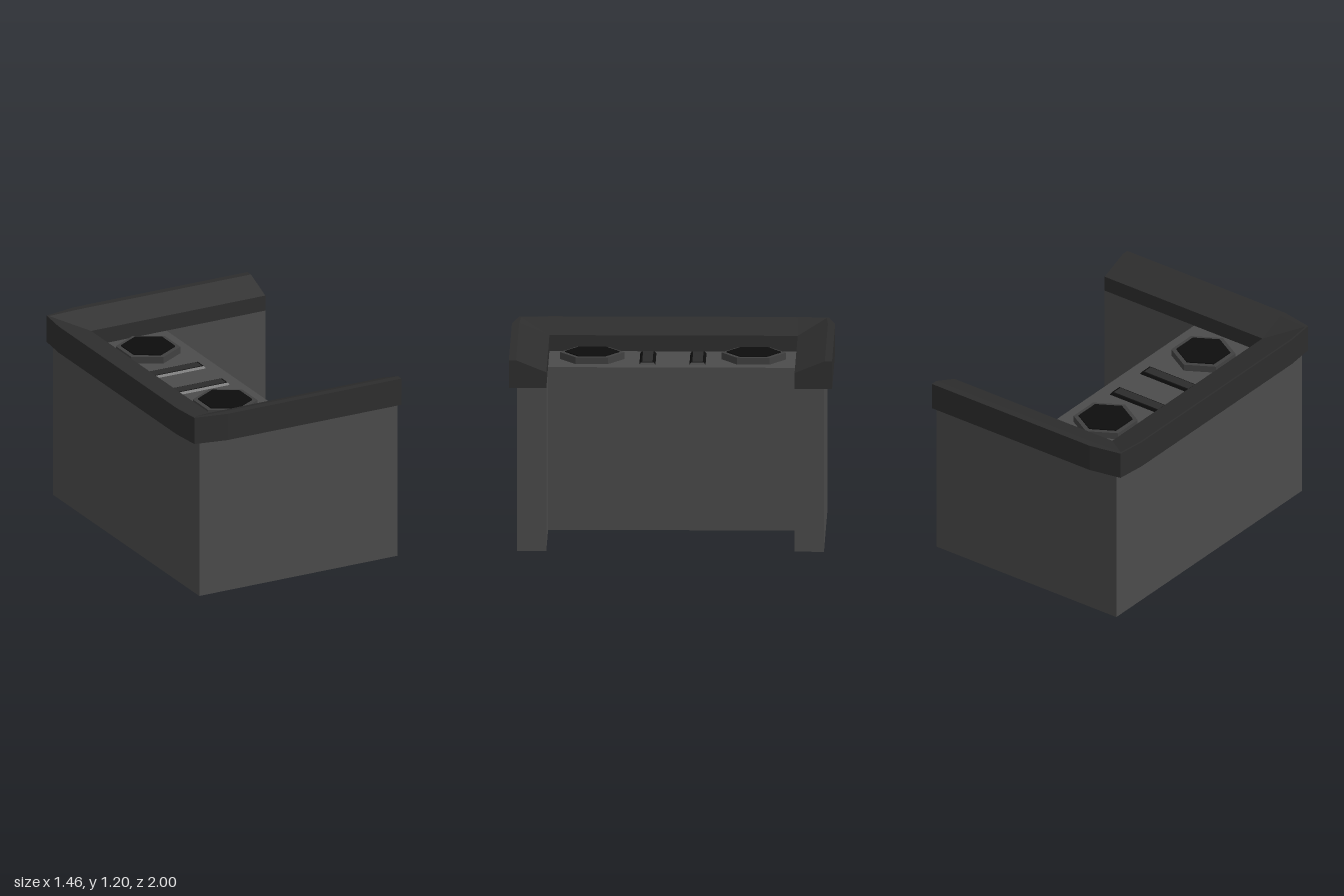
import * as THREE from 'three';

const mat = (color) => new THREE.MeshStandardMaterial({ color, flatShading: true });
const DECK = 1.025, TOP = 1.2, LIP = 1.125;

// U-shaped rim: stations give outer, ridge and inner points in plan [x, z]
function rimGeometry() {
  const half = [
    [[0.725, 1], [0.725, 0.955], [0.725, 0.768]],
    [[-0.5, 1], [-0.5, 0.955], [-0.5, 0.768]],
    [[-0.71, 0.96], [-0.7, 0.945], [-0.5, 0.768]],
    [[-0.73, 0.768], [-0.72, 0.768], [-0.5, 0.768]],
  ];
  const mirrored = half.map((s) => s.map(([x, z]) => [x, -z])).reverse();
  const rings = [...half, ...mirrored].map(([o, r, i]) => [
    [o[0], DECK, o[1]], [o[0], TOP, o[1]], [r[0], TOP, r[1]],
    [i[0], LIP, i[1]], [i[0], DECK, i[1]],
  ]);
  const pos = [];
  const tri = (a, b, c) => pos.push(...a, ...b, ...c);
  for (let s = 0; s < rings.length - 1; s++) {
    for (let j = 0; j < 5; j++) {
      const k = (j + 1) % 5;
      const a = rings[s][j], b = rings[s][k], c = rings[s + 1][j], d = rings[s + 1][k];
      tri(a, b, c);
      tri(b, d, c);
    }
  }
  // end caps
  const first = rings[0], last = rings[rings.length - 1];
  for (let j = 1; j < 4; j++) {
    tri(first[0], first[j + 1], first[j]);
    tri(last[0], last[j], last[j + 1]);
  }
  const g = new THREE.BufferGeometry();
  g.setAttribute('position', new THREE.Float32BufferAttribute(pos, 3));
  g.computeVertexNormals();
  return g;
}

export function createModel() {
  const group = new THREE.Group();
  const bodyMat = mat(0x4b4b4b), rimMat = mat(0x2d2d2d), nutMat = mat(0x404040);
  const blackMat = mat(0x0d0d0d), barMat = mat(0x2b2b2b);

  const add = (name, geometry, material, x = 0, y = 0, z = 0, parent = group) => {
    const m = new THREE.Mesh(geometry, material);
    m.name = name;
    m.position.set(x, y, z);
    parent.add(m);
    return m;
  };

  // body: C-shaped plan extruded upward
  const plan = new THREE.Shape([
    [-0.67, -0.95], [0.725, -0.95], [0.725, -0.768], [0.03, -0.768],
    [0.03, 0.768], [0.725, 0.768], [0.725, 0.95], [-0.67, 0.95],
  ].map(([x, y]) => new THREE.Vector2(x, y)));
  const bodyGeo = new THREE.ExtrudeGeometry(plan, { depth: DECK, bevelEnabled: false });
  bodyGeo.rotateX(-Math.PI / 2);
  add('body', bodyGeo, bodyMat);

  add('rim', rimGeometry(), rimMat);

  // deck fittings, mirrored front and back
  for (const s of [1, -1]) {
    const side = s > 0 ? 'front' : 'back';

    const port = new THREE.Group();
    port.name = side + 'Port';
    port.position.set(-0.245, DECK, 0.5 * s);
    group.add(port);
    add('hexCollar', new THREE.CylinderGeometry(0.2, 0.2, 0.043, 6), nutMat, 0, 0.0215, 0, port);
    add('hexOpening', new THREE.CylinderGeometry(0.168, 0.168, 0.008, 6), blackMat, 0, 0.046, 0, port);

    const slot = new THREE.Group();
    slot.name = side + 'Slot';
    slot.position.set(-0.243, DECK, 0.155 * s);
    group.add(slot);
    // slot base tapers toward the top
    const base = new THREE.BoxGeometry(0.38, 0.014, 0.1);
    const p = base.attributes.position;
    for (let i = 0; i < p.count; i++) {
      if (p.getY(i) > 0) p.setXYZ(i, p.getX(i) * 0.96, p.getY(i), p.getZ(i) * 0.8);
    }
    base.computeVertexNormals();
    add('slotBase', base, blackMat, 0, 0.007, 0, slot);
    add('slotPlate', new THREE.BoxGeometry(0.34, 0.004, 0.064), barMat, 0, 0.015, 0, slot);
  }
  return group;
}
